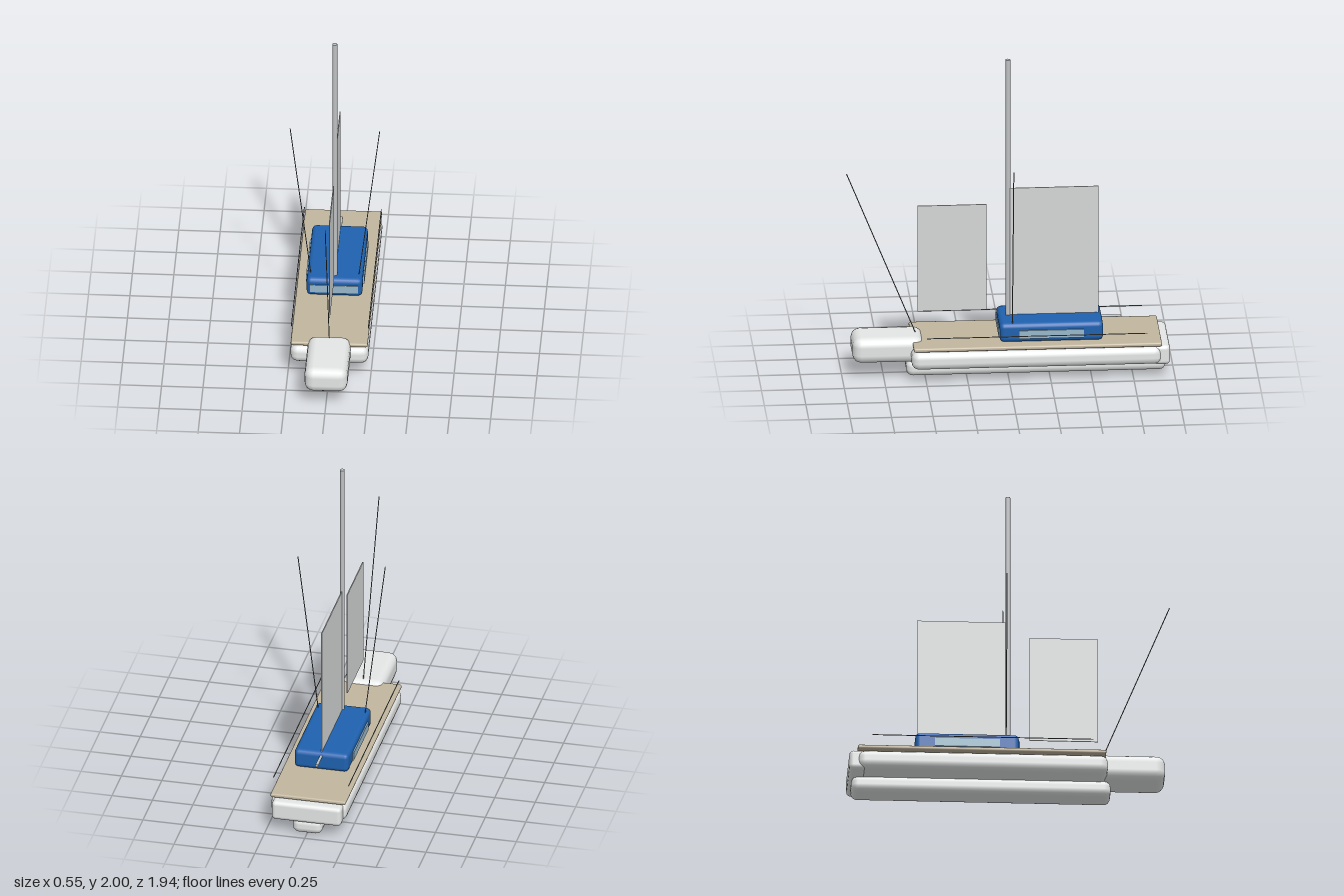
import * as THREE from 'three';
import { RoundedBoxGeometry } from 'three/addons/geometries/RoundedBoxGeometry.js';

const paint = (name, color) => {
  const m = new THREE.MeshStandardMaterial({ color });
  m.name = name;
  return m;
};

export function createModel() {
  const boat = new THREE.Group();
  boat.name = 'sailboat';

  const white = paint('hull white', 0xe6e8e8);
  const tan = paint('deck tan', 0xc2b69e);
  const blue = paint('cabin blue', 0x1f62b0);
  const glass = paint('window glass', 0x98b9cc);
  const sailGrey = paint('sail cloth', 0xd6d8d8);
  const metal = paint('mast metal', 0xc0c2c4);
  const wire = paint('rigging wire', 0x6c6e70);

  const add = (name, geometry, material) => {
    const mesh = new THREE.Mesh(geometry, material);
    mesh.name = name;
    boat.add(mesh);
    return mesh;
  };

  // Box given by its extents; a radius above zero rounds its edges
  const block = (name, material, [x0, x1], [y0, y1], [z0, z1], radius = 0) => {
    const size = [x1 - x0, y1 - y0, z1 - z0];
    const geometry = radius
      ? new RoundedBoxGeometry(...size, 2, radius)
      : new THREE.BoxGeometry(...size);
    add(name, geometry, material).position.set((x0 + x1) / 2, (y0 + y1) / 2, (z0 + z1) / 2);
  };

  // Round bar between two points
  const rod = (name, material, from, to, radius, sides = 8) => {
    const a = new THREE.Vector3(...from);
    const b = new THREE.Vector3(...to);
    const mesh = add(name, new THREE.CylinderGeometry(radius, radius, a.distanceTo(b), sides), material);
    mesh.position.copy(a).add(b).multiplyScalar(0.5);
    mesh.quaternion.setFromUnitVectors(new THREE.Vector3(0, 1, 0), b.sub(a).normalize());
  };

  // Hull
  block('lowerHull', white, [-0.092, 0.092], [0, 0.1], [-0.953, 0.613], 0.04);
  block('upperHull', white, [-0.235, 0.235], [0.09, 0.205], [-0.92, 0.59], 0.045);
  block('bow', white, [-0.13, 0.13], [0.1, 0.26], [0.51, 0.94], 0.055);
  block('stern', white, [-0.215, 0.215], [0.085, 0.207], [-0.97, -0.87], 0.025);
  block('deck', tan, [-0.232, 0.232], [0.21, 0.235], [-0.92, 0.578], 0.01);

  // Cabin and windows
  block('cabin', blue, [-0.168, 0.168], [0.235, 0.355], [-0.57, 0.055], 0.028);
  block('frontWindow', glass, [-0.145, 0.145], [0.265, 0.315], [0.052, 0.06]);

  // Mast, boom and sails
  rod('mast', metal, [0, 0.24, -0.005], [0, 2, -0.005], 0.015, 12);
  rod('boom', metal, [0, 0.33, -0.01], [0, 0.33, -0.685], 0.009);
  block('mainSail', sailGrey, [-0.003, 0.003], [0.345, 1.17], [-0.553, -0.018]);
  block('jib', sailGrey, [-0.003, 0.003], [0.39, 1.07], [0.125, 0.54]);
  rod('forestay', wire, [0, 0.22, 0.54], [0, 1.288, 0.969], 0.003, 6);

  // Mirrored fittings
  for (const [side, s] of [['left', 1], ['right', -1]]) {
    const x = [0.168 * s, 0.176 * s].sort((a, b) => a - b);
    block(side + 'Window', glass, x, [0.262, 0.314], [-0.453, -0.062]);
    rod(side + 'Shroud', wire, [0.133 * s, 0.25, -0.022], [0.27 * s, 1.375, -0.022], 0.003, 6);
    rod(side + 'Rail', wire, [0.232 * s, 0.3, -0.832], [0.232 * s, 0.3, 0.5], 0.003, 6);
  }
  return boat;
}
